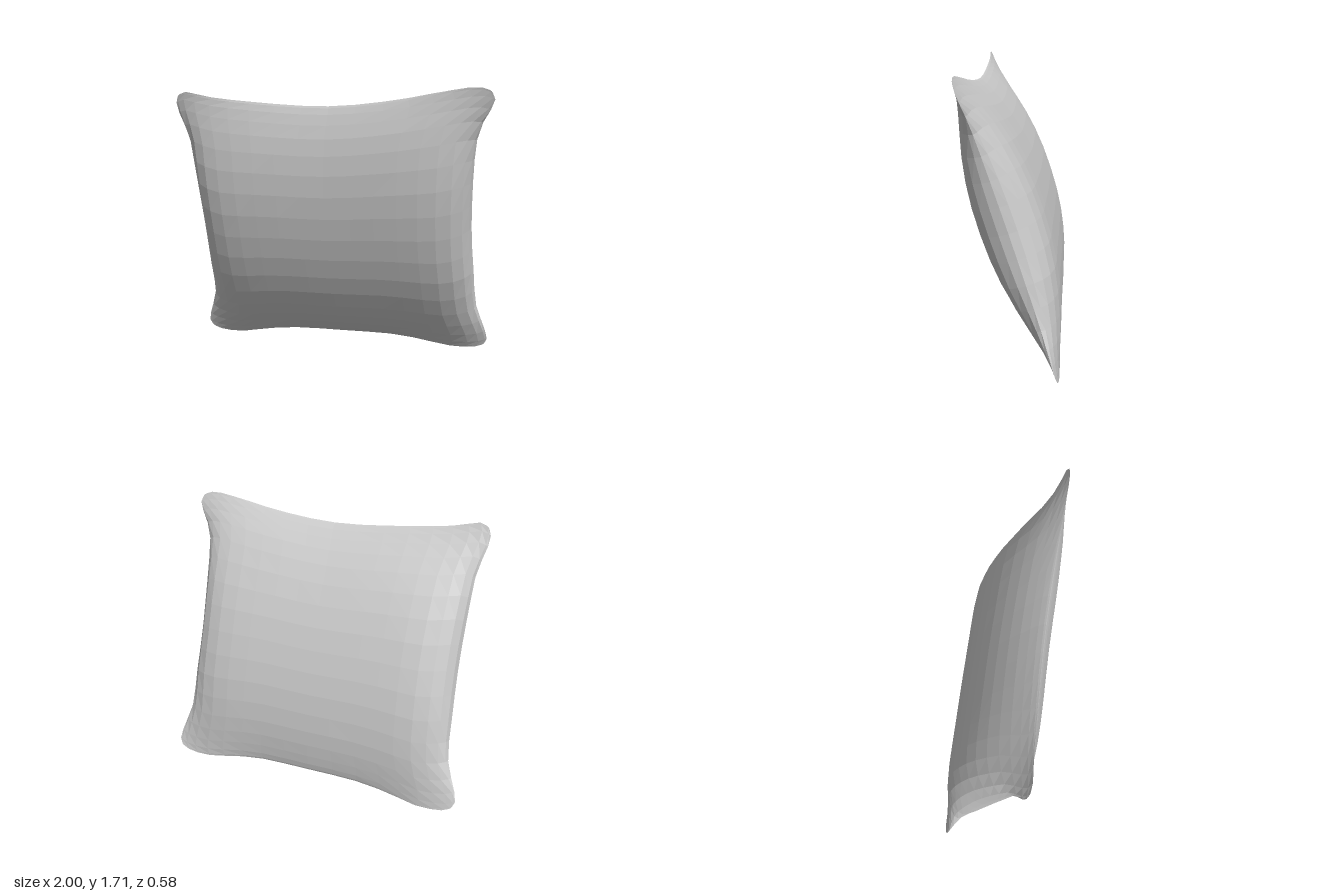
import * as THREE from 'three';

const N = 18;          // grid cells per side, denser toward the seam
const MID_Y = 0.857;   // height of the cushion centre
const LEAN = 0.33;     // forward lean of the seam plane, z per y

const curve = (pts) =>
  new THREE.CatmullRomCurve3(pts.map(([x, y]) => new THREE.Vector3(x, y, 0)), false, 'centripetal');

// Seam outline: four edges meeting in soft, rounded ears
const BL = [-0.977, 0.037], BR = [0.947, 0.034], TL = [-0.955, 1.675], TR = [0.978, 1.692];
const bottom = curve([BL, [-0.94, 0.017], [-0.88, 0.007], [-0.78, 0.002], [-0.62, 0.03], [-0.4, 0.062],
  [0, 0.068], [0.38, 0.062], [0.6, 0.026], [0.76, 0.002], [0.85, 0.006], [0.91, 0.016], BR]);
const top = curve([TL, [-0.93, 1.691], [-0.89, 1.697], [-0.78, 1.67], [-0.5, 1.637], [0, 1.607],
  [0.4, 1.64], [0.7, 1.69], [0.88, 1.715], [0.94, 1.71], TR]);
const left = curve([BL, [-0.996, 0.062], [-1, 0.1], [-0.97, 0.18], [-0.92, 0.32], [-0.905, 0.6],
  [-0.9, 0.9], [-0.915, 1.3], [-0.925, 1.42], [-0.95, 1.51], [-0.974, 1.6], [-0.972, 1.645], TL]);
const right = curve([BR, [0.965, 0.058], [0.97, 0.09], [0.945, 0.18], [0.9, 0.32], [0.88, 0.6],
  [0.868, 0.85], [0.885, 1.3], [0.905, 1.44], [0.94, 1.53], [0.988, 1.61], [0.999, 1.652], TR]);

// Fill the outline by blending opposite edges
function seamPoint(s, t) {
  const b = bottom.getPointAt(s), c = top.getPointAt(s);
  const l = left.getPointAt(t), r = right.getPointAt(t);
  const mix = (k, i) =>
    (1 - t) * b[k] + t * c[k] + (1 - s) * l[k] + s * r[k]
    - (1 - s) * ((1 - t) * BL[i] + t * TL[i]) - s * ((1 - t) * BR[i] + t * TR[i]);
  return [mix('x', 0), mix('y', 1)];
}

// One puffed half of the cushion; side is +1 for front, -1 for back
function cushionHalf(side, depth) {
  const pos = [], index = [];
  const len = Math.hypot(1, LEAN);
  for (let j = 0; j <= N; j++) {
    for (let i = 0; i <= N; i++) {
      const u = -Math.cos((Math.PI * i) / N), v = -Math.cos((Math.PI * j) / N);
      const [x, y] = seamPoint((u + 1) / 2, (v + 1) / 2);
      // blunt side walls, lens shape from bottom to top, flattened ears
      const across = Math.pow(Math.max(0, 1 - Math.pow(Math.abs(u), 8)), 0.6);
      const upward = Math.pow(Math.max(0, 1 - Math.pow(Math.abs(v), 2.1)), 0.92);
      const ears = 1 - Math.pow(Math.abs(u * v), 3);
      const h = (side * depth * across * upward * ears) / len;
      pos.push(x, y - h * LEAN, (y - MID_Y) * LEAN + h);
    }
  }
  for (let j = 0; j < N; j++) {
    for (let i = 0; i < N; i++) {
      const a = j * (N + 1) + i, b = a + 1, c = a + N + 1, d = c + 1;
      if (side > 0) index.push(a, b, d, a, d, c);
      else index.push(a, d, b, a, c, d);
    }
  }
  const geo = new THREE.BufferGeometry();
  geo.setAttribute('position', new THREE.Float32BufferAttribute(pos, 3));
  geo.setIndex(index);
  geo.computeVertexNormals();
  return geo;
}

export function createModel() {
  const group = new THREE.Group();
  group.name = 'pillow';
  const fabric = new THREE.MeshStandardMaterial({ color: 0xcccccc, flatShading: true });
  for (const [name, side, depth] of [['frontCover', 1, 0.208], ['backCover', -1, 0.188]]) {
    const mesh = new THREE.Mesh(cushionHalf(side, depth), fabric);
    mesh.name = name;
    group.add(mesh);
  }
  return group;
}
